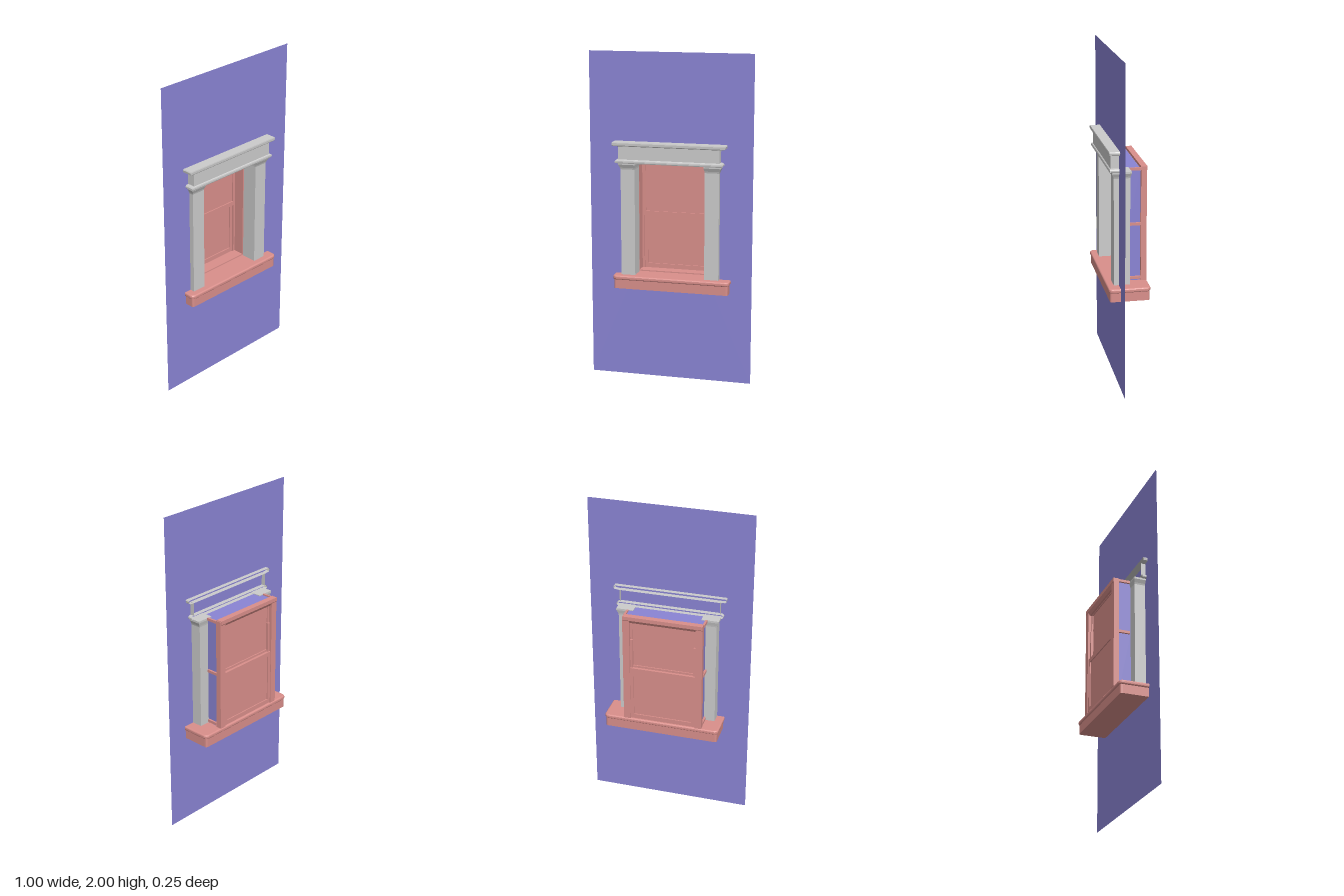
import * as THREE from 'three';

const paint = (color) => new THREE.MeshStandardMaterial({ color, side: THREE.DoubleSide });

export function createModel() {
  const model = new THREE.Group();
  const stone = paint(0xcccccc), wood = paint(0xd98f8b), plaster = paint(0x8a84d4);

  const add = (name, geometry, material) => {
    const mesh = new THREE.Mesh(geometry, material);
    mesh.name = name;
    model.add(mesh);
    return mesh;
  };
  // Box given by its limits on each axis
  const box = (name, x0, x1, y0, y1, z0, z1, material = wood) =>
    add(name, new THREE.BoxGeometry(x1 - x0, y1 - y0, z1 - z0), material)
      .position.set((x0 + x1) / 2, (y0 + y1) / 2, (z0 + z1) / 2);

  // Stacked rectangles [y, x0, x1, z0, z1], listed upwards; the back can stay open
  const loft = (levels, openBack = false) => {
    const rings = levels.map(([y, x0, x1, z0, z1]) =>
      [[x0, y, z0], [x0, y, z1], [x1, y, z1], [x1, y, z0]]);
    const pos = [];
    const quad = (a, b, c, d) => pos.push(...a, ...b, ...c, ...a, ...c, ...d);
    for (let i = 0; i < rings.length - 1; i++) {
      const lo = rings[i], hi = rings[i + 1];
      for (let k = 0; k < (openBack ? 3 : 4); k++) {
        const n = (k + 1) % 4;
        quad(lo[k], lo[n], hi[n], hi[k]);
      }
    }
    const b = rings[0], t = rings[rings.length - 1];
    quad(b[3], b[2], b[1], b[0]);
    quad(...t);
    const g = new THREE.BufferGeometry();
    g.setAttribute('position', new THREE.Float32BufferAttribute(pos, 3));
    g.computeVertexNormals();
    return g;
  };

  // Wall sheet with the window opening
  const wallZ = 0.055, open = 0.235, openTop = 1.335, openBottom = 0.63;
  const rect = (Type, x0, x1, y0, y1) => {
    const p = new Type();
    p.moveTo(x0, y0).lineTo(x1, y0).lineTo(x1, y1).lineTo(x0, y1).closePath();
    return p;
  };
  const wallShape = rect(THREE.Shape, -0.5, 0.5, 0, 2);
  wallShape.holes.push(rect(THREE.Path, -open, open, openBottom, openTop));
  add('wall', new THREE.ShapeGeometry(wallShape), plaster).position.z = wallZ;

  // Reveal lining the opening back to the window frame
  const depth = wallZ + 0.085, midZ = (wallZ - 0.085) / 2;
  for (const s of [-1, 1]) {
    const side = add('revealSide', new THREE.PlaneGeometry(depth, openTop - openBottom), plaster);
    side.rotation.y = s * Math.PI / 2;
    side.position.set(s * open, (openTop + openBottom) / 2, midZ);
  }
  const revealTop = add('revealTop', new THREE.PlaneGeometry(open * 2, depth), plaster);
  revealTop.rotation.x = -Math.PI / 2;
  revealTop.position.set(0, openTop, midZ);

  // Sill: block below, rounded overhanging slab above
  const slab = (name, x0, x1, hz, y0, y1, r, bevel) => {
    const a = x0 + bevel, b = x1 - bevel, h = hz - bevel;
    const s = new THREE.Shape();
    s.moveTo(a + r, -h).lineTo(b - r, -h).quadraticCurveTo(b, -h, b, -h + r)
      .lineTo(b, h - r).quadraticCurveTo(b, h, b - r, h)
      .lineTo(a + r, h).quadraticCurveTo(a, h, a, h - r)
      .lineTo(a, -h + r).quadraticCurveTo(a, -h, a + r, -h);
    const g = new THREE.ExtrudeGeometry(s, {
      depth: y1 - y0 - 2 * bevel, bevelEnabled: bevel > 0, bevelSize: bevel,
      bevelThickness: bevel, bevelSegments: 4, curveSegments: 5,
    });
    g.rotateX(-Math.PI / 2);
    add(name, g, wood).position.y = y0 + bevel;
  };
  slab('sillBlock', -0.342, 0.366, 0.118, 0.565, 0.622, 0.015, 0);
  slab('sillSlab', -0.35, 0.373, 0.125, 0.62, 0.646, 0.02, 0.009);
  box('innerSill', -0.222, 0.222, 0.646, 0.653, -0.09, -0.02);

  // Square columns with flared caps
  for (const s of [-1, 1]) {
    const level = (y, e) => {
      const xs = [s * (0.215 - e * 0.4), s * (0.302 + e)].sort((a, b) => a - b);
      return [y, ...xs, -0.012 - e * 0.5, 0.085 + e];
    };
    add('column', loft([level(0.645, 0), level(1.298, 0), level(1.308, 0.003),
      level(1.322, 0.01), level(1.328, 0.013), level(1.34, 0.013)]), stone);
  }

  // Lintel bands, open towards the wall
  const band = (name, rows) => add(name, loft(rows.map(([y, e]) =>
    [y, -0.31 - e, 0.307 + e, 0.028, 0.105 + e * 0.35]), true), stone);
  band('lintelMoulding', [[1.338, 0.014], [1.343, 0.02], [1.352, 0.02], [1.358, 0.014], [1.361, 0.002]]);
  band('frieze', [[1.36, 0], [1.442, 0]]);
  band('cornice', [[1.44, 0.004], [1.443, 0.03], [1.447, 0.036], [1.46, 0.038], [1.466, 0.034]]);

  // Window frame: jambs, liners, stops and clips on both sides
  for (const s of [-1, 1]) {
    const sided = (name, a, b, ...rest) =>
      box(name, Math.min(s * a, s * b), Math.max(s * a, s * b), ...rest);
    sided('jamb', 0.203, 0.245, 0.646, 1.345, -0.122, -0.088);
    sided('jambLiner', 0.216, 0.228, 0.646, 1.33, -0.088, -0.02);
    sided('sashStop', 0.188, 0.203, 0.99, 1.19, -0.108, -0.09);
    for (const y of [0.665, 1.0, 1.335]) {
      sided('clip', 0.236, 0.248, y - 0.008, y + 0.008, -0.09, -0.02);
    }
  }
  add('frameHead', loft([[1.305, -0.245, 0.24, -0.112, -0.088], [1.325, -0.245, 0.24, -0.125, -0.088],
    [1.348, -0.245, 0.24, -0.125, -0.088]]), wood);
  box('headLiner', -0.222, 0.222, 1.322, 1.332, -0.088, -0.02);

  // Sashes: stiles, rails and pane
  const sash = (name, y0, y1, z0, z1, w, low, high) => {
    const h = 0.204;
    for (const s of [-1, 1]) {
      const c = s * (h - w / 2);
      box(name + 'Stile', c - w / 2, c + w / 2, y0, y1, z0, z1);
    }
    box(name + 'BottomRail', -h + w, h - w, y0, y0 + low, z0, z1);
    box(name + 'TopRail', -h + w, h - w, y1 - high, y1, z0, z1);
    const z = (z0 + z1) / 2;
    box(name + 'Pane', -h + w, h - w, y0 + low, y1 - high, z - 0.002, z + 0.002);
  };
  sash('upperSash', 0.985, 1.322, -0.1, -0.082, 0.012, 0.028, 0.022);
  sash('lowerSash', 0.65, 1.0, -0.117, -0.099, 0.022, 0.028, 0.025);

  return model;
}
